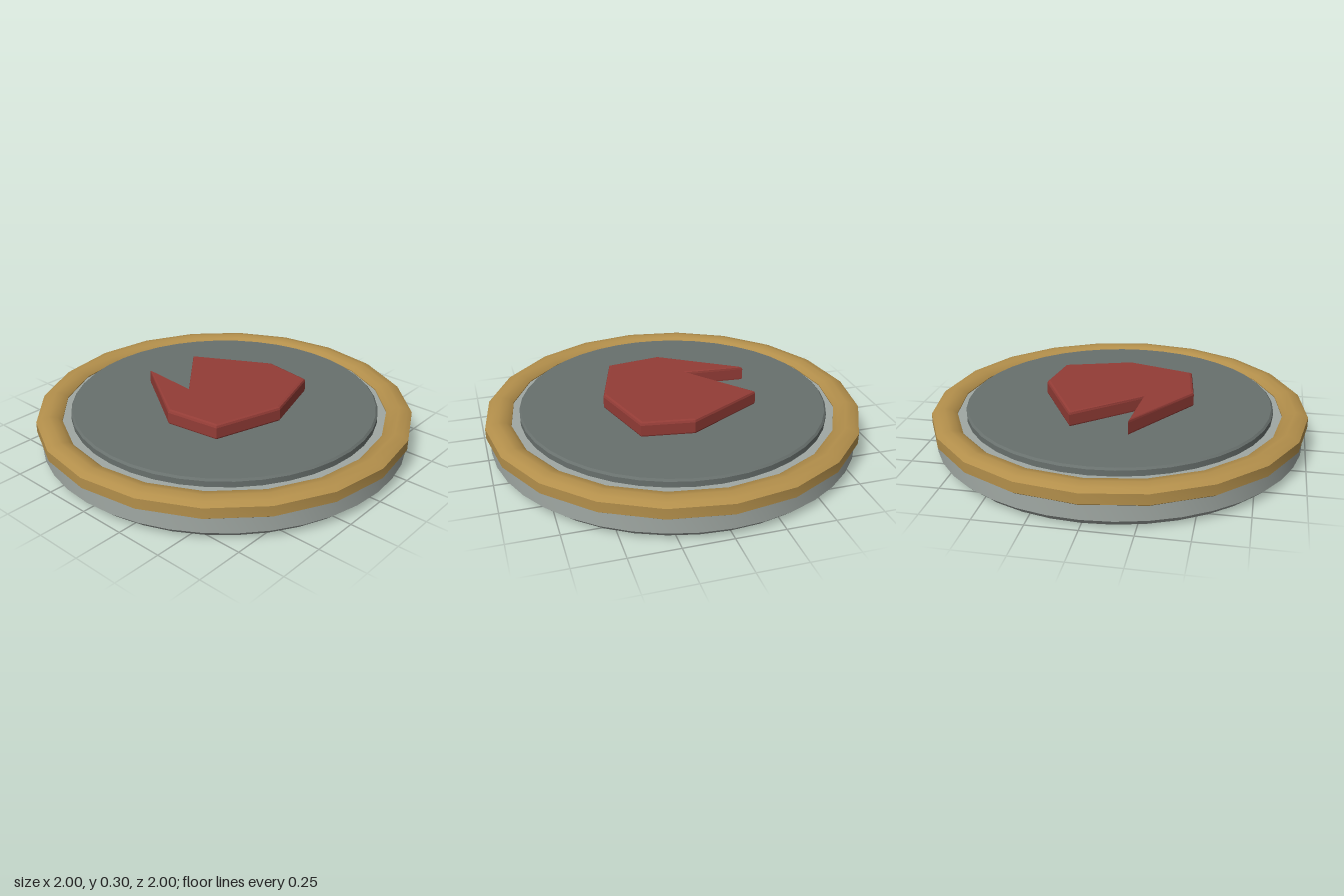
import * as THREE from 'three';
import { toCreasedNormals } from 'three/addons/utils/BufferGeometryUtils.js';

const paint = (name, color) => {
  const m = new THREE.MeshStandardMaterial({ color });
  m.name = name;
  return m;
};

// Revolve an [radius, height] profile, keeping strong edges sharp
const turned = (profile, segments) => toCreasedNormals(
  new THREE.LatheGeometry(profile.map(([r, y]) => new THREE.Vector2(r, y)), segments), 0.6);

export function createModel() {
  const group = new THREE.Group();
  const stone = paint('pale stone', 0xa0a8a3);
  const slate = paint('dark slate', 0x68706d);
  const gold = paint('antique gold', 0xb38f4b);
  const red = paint('deep red', 0x933c36);

  const add = (name, geometry, material) => {
    const mesh = new THREE.Mesh(geometry, material);
    mesh.name = name;
    group.add(mesh);
  };

  // Round base with a chamfered foot
  add('base', turned([[0, 0], [0.935, 0], [0.98, 0.042], [0.98, 0.14], [0.94, 0.18], [0, 0.18]], 40), stone);

  // Rounded rim band
  add('rim', turned([
    [0.93, 0.108], [0.975, 0.114], [1, 0.132], [1, 0.187], [0.975, 0.205], [0.932, 0.213],
    [0.89, 0.205], [0.866, 0.185], [0.866, 0.14], [0.93, 0.108],
  ], 20), gold);

  // Raised centre plate
  add('plate', turned([[0, 0.16], [0.818, 0.16], [0.818, 0.21], [0.808, 0.22], [0, 0.22]], 40), slate);

  // Bevelled emblem, outlined in x and z
  const outline = [
    [0, 0.363], [0.348, 0.257], [0.386, 0.002], [0.177, -0.382],
    [-0.158, -0.105], [-0.13, -0.425], [-0.386, -0.022], [-0.348, 0.257],
  ];
  const shape = new THREE.Shape(outline.map(([x, z]) => new THREE.Vector2(x, -z)));
  const emblem = new THREE.ExtrudeGeometry(shape, {
    depth: 0.055, bevelEnabled: true, bevelThickness: 0.015, bevelSize: 0.015, bevelSegments: 2,
  });
  emblem.rotateX(-Math.PI / 2).translate(0, 0.227, 0);
  add('emblem', emblem, red);

  return group;
}
